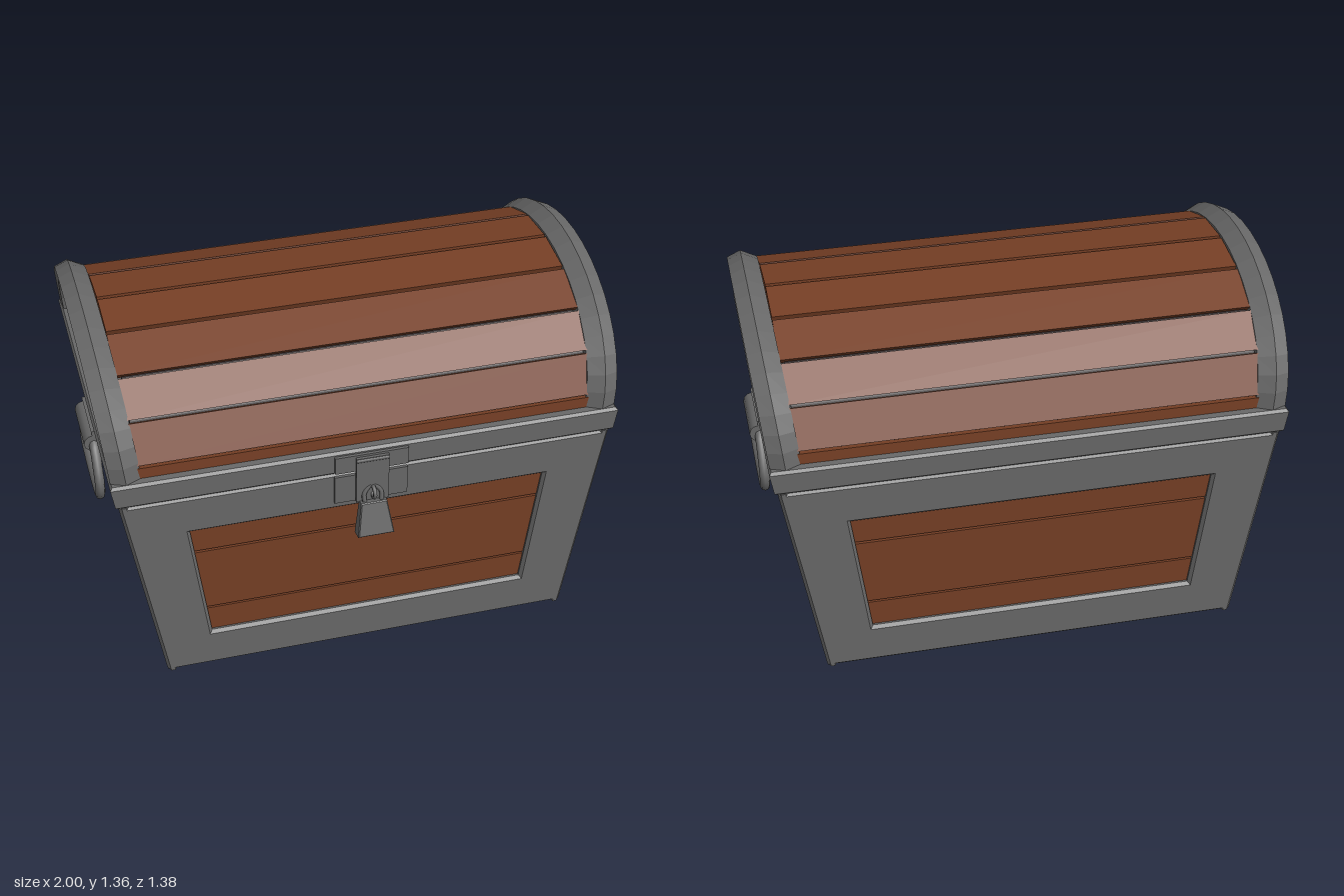
import * as THREE from 'three';

const metal = new THREE.MeshStandardMaterial({ color: 0x686868 });
metal.name = 'iron grey';
const wood = new THREE.MeshStandardMaterial({ color: 0x763f25 });
wood.name = 'brown wood';
const dark = new THREE.MeshStandardMaterial({ color: 0x241a1a });
dark.name = 'dark gap';

const HALF_Z = 0.642;  // half depth of the body
const TOP = 0.84;      // top of the body
const RIM = 0.94;      // top of the lid rim
const TAPER = 0.167;   // outward lean of the body ends

function add(parent, name, geometry, material) {
  const mesh = new THREE.Mesh(geometry, material);
  mesh.name = name;
  parent.add(mesh);
  return mesh;
}

// Plate from an outline (and optional hole), chamfered, spanning z = 0..depth
function plate(points, depth, bevel = 0, hole = null) {
  const toVectors = (list) => list.map(([x, y]) => new THREE.Vector2(x, y));
  const shape = new THREE.Shape(toVectors(points));
  if (hole) shape.holes.push(new THREE.Path(toVectors(hole)));
  const geometry = new THREE.ExtrudeGeometry(shape, {
    depth: depth - 2 * bevel, bevelEnabled: bevel > 0, bevelSegments: 1,
    bevelSize: bevel, bevelThickness: bevel, bevelOffset: -bevel,
  });
  return geometry.translate(0, 0, bevel);
}

// Four-sided outline that is symmetric about x = 0
const trapezoid = (y0, w0, y1, w1) => [[-w0, y0], [w0, y0], [w1, y1], [-w1, y1]];

function lean(geometry, slope, y0, bothSides = false) {
  const p = geometry.attributes.position;
  for (let i = 0; i < p.count; i++) {
    const side = bothSides ? Math.sign(p.getX(i)) : 1;
    p.setX(i, p.getX(i) + side * slope * (p.getY(i) - y0));
  }
  geometry.computeVertexNormals();
  return geometry;
}

const onArc = (t, a, b) => [Math.cos(t) * a, RIM + Math.sin(t) * b];

// Curved iron band over one end of the lid
function archGeometry() {
  const section = [[-0.06, -0.03], [0, 0], [0.055, -0.022], [0.05, -0.078], [-0.06, -0.085]];
  const steps = 20, n = section.length, pos = [], index = [];
  for (let i = 0; i <= steps; i++) {
    for (const [u, r] of section) {
      const [z, y] = onArc((Math.PI * i) / steps, 0.637 + r, 0.422 + r);
      pos.push(0.905 + u + 0.1 * (y - RIM), y, z);
    }
  }
  for (let i = 0; i < steps; i++) {
    for (let k = 0; k < n; k++) {
      const a = i * n + k, b = i * n + (k + 1) % n;
      index.push(a, b, a + n, b, b + n, a + n);
    }
  }
  const geometry = new THREE.BufferGeometry();
  geometry.setAttribute('position', new THREE.Float32BufferAttribute(pos, 3));
  geometry.setIndex(index);
  const flat = geometry.toNonIndexed();
  flat.computeVertexNormals();
  return flat;
}

const BOARDS = [[0.02, 0.276], [0.284, 0.56], [0.569, 0.82]];

// Front or back wall: iron frame with recessed boards
function longWall(name) {
  const wall = new THREE.Group();
  wall.name = name;
  const width = (y) => 0.8 + TAPER * y;
  add(wall, 'wallFrame', plate(trapezoid(0.005, width(0), TOP, width(TOP)), 0.04, 0.012,
    trapezoid(0.17, 0.62, 0.675, 0.685)).translate(0, 0, HALF_Z - 0.04), metal);
  for (const [y0, y1] of BOARDS) {
    add(wall, 'wallBoard', plate(trapezoid(y0, width(y0) - 0.05, y1, width(y1) - 0.05), 0.015)
      .translate(0, 0, HALF_Z - 0.035), wood);
  }
  return wall;
}

// One end of the chest: wall, handle, lid arch and lid end boards
function chestEnd(name) {
  const end = new THREE.Group();
  end.name = name;
  const place = (g, x, slope, y0) => lean(g.rotateY(Math.PI / 2).translate(x, 0, 0), slope, y0);
  add(end, 'endFrame', place(plate(trapezoid(0.005, HALF_Z, TOP, HALF_Z), 0.04, 0.012,
    trapezoid(0.17, 0.43, 0.675, 0.43)), 0.76, TAPER, 0), metal);
  for (const [y0, y1] of BOARDS) {
    add(end, 'endBoard', place(plate(trapezoid(y0, 0.6, y1, 0.6), 0.015), 0.765, TAPER, 0), wood);
  }

  // Lid end boards follow the curve of the arch
  for (const [y0, y1] of [[0.93, 0.963], [0.969, 1.088], [1.094, 1.213], [1.219, 1.305]]) {
    const right = [];
    for (let i = 0; i <= 5; i++) {
      const y = y0 + ((y1 - y0) * i) / 5;
      right.push([0.58 * Math.sqrt(1 - Math.min(1, (Math.max(0, y - RIM) / 0.37) ** 2)), y]);
    }
    const left = right.map(([z, y]) => [-z, y]).reverse();
    add(end, 'lidEndBoard', place(plate([...right, ...left], 0.025), 0.865, 0.1, RIM), wood);
  }
  add(end, 'lidArch', archGeometry(), metal);

  // Handle bracket and hanging ring
  add(end, 'handleBarrel', new THREE.CylinderGeometry(0.036, 0.036, 0.234, 12)
    .rotateX(Math.PI / 2).translate(0.955, 0.755, 0), metal);
  add(end, 'handlePlate', place(plate(trapezoid(0.695, 0.117, 0.81, 0.117), 0.03), 0.795, TAPER, 0), metal);
  const half = [[0.1, 0.755], [0.165, 0.69], [0.202, 0.605], [0.18, 0.553], [0.09, 0.534]];
  const loop = [...half, ...half.map(([z, y]) => [-z, y]).reverse()]
    .map(([z, y]) => new THREE.Vector3(0.953, y, z));
  add(end, 'handleRing', new THREE.TubeGeometry(
    new THREE.CatmullRomCurve3(loop, true), 40, 0.019, 8, true), metal);
  return end;
}

// Curved lid: flat planks along the arc over a dark lining
function lidPlanks() {
  const lid = new THREE.Group();
  lid.name = 'lidPlanks';
  const along = (points, halfLength) => plate(points, 2 * halfLength)
    .translate(0, 0, -halfLength).rotateY(-Math.PI / 2);
  const angles = [-2, 7, 30, 50, 70.5, 90, 109.5, 130, 150, 173, 182].map(THREE.MathUtils.degToRad);
  const gap = 0.014;
  for (let i = 0; i < angles.length - 1; i++) {
    const a = angles[i] + gap, b = angles[i + 1] - gap;
    add(lid, 'lidPlank', along([onArc(a, 0.61, 0.39), onArc(b, 0.61, 0.39),
      onArc(b, 0.578, 0.358), onArc(a, 0.578, 0.358)], 0.88), wood);
  }
  const outer = angles.map((t) => onArc(t, 0.59, 0.37));
  const inner = angles.map((t) => onArc(t, 0.575, 0.355)).reverse();
  add(lid, 'lidLining', along([...outer, ...inner], 0.86), dark);
  return lid;
}

// Hasp, staple and hanging padlock
function lock() {
  const group = new THREE.Group();
  group.name = 'lock';
  const box = (name, w, h, d, x, y, z) =>
    add(group, name, new THREE.BoxGeometry(w, h, d).translate(x, y, z), metal);
  box('lowerPlate', 0.28, 0.12, 0.012, 0, 0.77, 0.646);
  box('upperPlate', 0.28, 0.072, 0.014, 0, 0.888, 0.652);
  box('haspStrap', 0.125, 0.2, 0.012, 0, 0.815, 0.665);
  add(group, 'haspPin', new THREE.CylinderGeometry(0.01, 0.01, 0.125, 8)
    .rotateZ(Math.PI / 2).translate(0, 0.905, 0.664), metal);
  add(group, 'staple', new THREE.TorusGeometry(0.022, 0.008, 6, 12)
    .rotateY(Math.PI / 2).translate(0, 0.762, 0.683), metal);

  const padlock = new THREE.Group();
  padlock.name = 'padlock';
  padlock.position.set(0, 0.72, 0.678);
  padlock.rotation.x = -0.2;
  group.add(padlock);
  const body = plate(trapezoid(-0.135, 0.07, 0, 0.05), 0.05, 0.004).translate(0, 0, -0.025);
  const p = body.attributes.position;
  for (let i = 0; i < p.count; i++) p.setZ(i, p.getZ(i) * (0.75 - 3.5 * p.getY(i)));
  body.computeVertexNormals();
  add(padlock, 'padlockBody', body, metal);
  const path = [[-0.032, -0.01], [-0.032, 0.035], [0, 0.067], [0.032, 0.035], [0.032, -0.01]]
    .map(([x, y]) => new THREE.Vector3(x, y, 0));
  add(padlock, 'shackle', new THREE.TubeGeometry(
    new THREE.CatmullRomCurve3(path), 16, 0.009, 6), metal);
  return group;
}

export function createModel() {
  const chest = new THREE.Group();
  chest.name = 'treasureChest';
  const main = new THREE.Group();
  main.name = 'chest';
  main.position.z = -0.043;
  chest.add(main);

  // Walls and ends, each pair turned half way round
  const back = longWall('backWall');
  const rightEnd = chestEnd('rightEnd');
  back.rotation.y = rightEnd.rotation.y = Math.PI;
  main.add(longWall('frontWall'), back, chestEnd('leftEnd'), rightEnd);

  // Floor boards
  for (const i of [-1, 0, 1]) {
    add(main, 'floorBoard', new THREE.BoxGeometry(1.57, 0.03, 0.412)
      .translate(0, 0.015, i * 0.418), wood);
  }

  // Lid rim
  const rect = (x, z) => trapezoid(-z, x, z, x);
  const rim = plate(rect(0.95, 0.647), RIM - TOP, 0.01, rect(0.82, 0.53))
    .rotateX(-Math.PI / 2).translate(0, TOP, 0);
  add(main, 'lidRim', lean(rim, TAPER, TOP, true), metal);

  main.add(lidPlanks(), lock());
  return chest;
}
